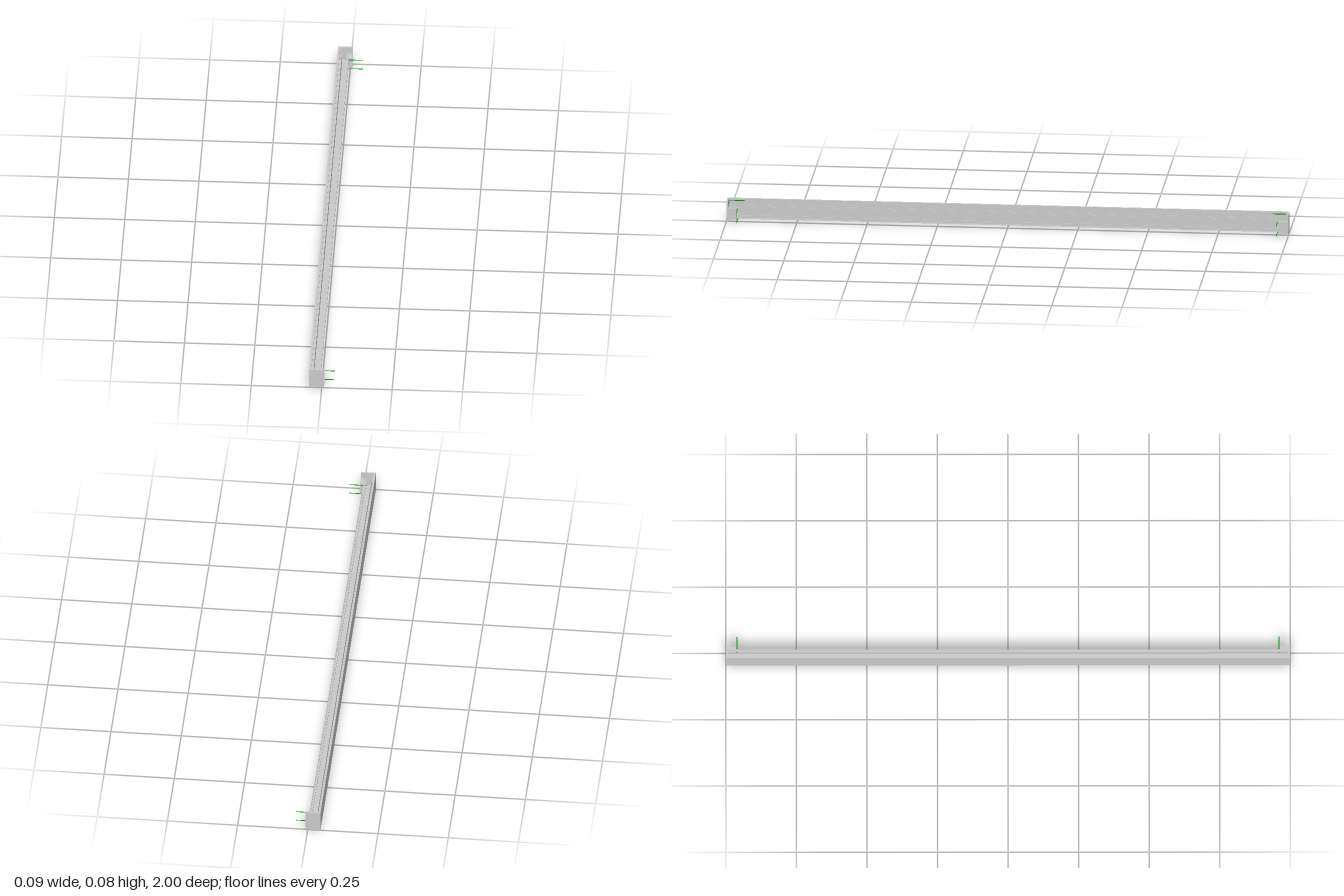
import * as THREE from 'three';

const grey = new THREE.MeshStandardMaterial({ color: 0xcccccc, side: THREE.DoubleSide });
const green = new THREE.MeshStandardMaterial({ color: 0x00a000 });

// Box given by its limits on each axis
function box(name, [x0, x1], [y0, y1], [z0, z1]) {
  const mesh = new THREE.Mesh(new THREE.BoxGeometry(x1 - x0, y1 - y0, z1 - z0), grey);
  mesh.position.set((x0 + x1) / 2, (y0 + y1) / 2, (z0 + z1) / 2);
  mesh.name = name;
  return mesh;
}

// Thin green pin lying along x or z
function pin(name, axis, length, x, y, z) {
  const mesh = new THREE.Mesh(new THREE.CylinderGeometry(0.0013, 0.0013, length, 24), green);
  if (axis === 'x') mesh.rotation.z = Math.PI / 2;
  else mesh.rotation.x = Math.PI / 2;
  mesh.position.set(x, y, z);
  mesh.name = name;
  return mesh;
}

// Rail cross-section: tall fascia with small ribs, and an open-topped trough
// whose front wall carries a lip at its top and bottom
function railProfile() {
  return new THREE.Shape([
    [-0.045, 0], [-0.037, 0], [-0.037, 0.002], [-0.043, 0.002],
    [-0.043, 0.010], [-0.038, 0.010], [-0.038, 0.012], [-0.043, 0.012],
    [-0.043, 0.019], [-0.005, 0.019], [-0.005, 0.022], [-0.008, 0.022],
    [-0.008, 0.048], [-0.005, 0.048], [-0.005, 0.054], [-0.007, 0.054],
    [-0.007, 0.051], [-0.013, 0.051], [-0.013, 0.049], [-0.010, 0.049],
    [-0.010, 0.022], [-0.030, 0.022], [-0.030, 0.054], [-0.032, 0.054],
    [-0.032, 0.022], [-0.043, 0.022], [-0.043, 0.073], [-0.039, 0.073],
    [-0.039, 0.069], [-0.037, 0.069], [-0.037, 0.075], [-0.045, 0.075],
  ].map(([x, y]) => new THREE.Vector2(x, y)));
}

// End cap at +z with its mounting bracket and pins
function endCap() {
  const cap = new THREE.Group();
  cap.add(box('endPlate', [-0.045, 0.008], [0, 0.075], [0.994, 1]));
  cap.add(box('bracketWeb', [-0.005, -0.002], [0.005, 0.050], [0.960, 0.994]));
  cap.add(box('bracketTop', [-0.002, 0.008], [0.047, 0.050], [0.963, 0.994]));
  cap.add(box('bracketBottom', [-0.002, 0.008], [0.005, 0.008], [0.963, 0.994]));
  cap.add(box('bracketSide', [-0.002, 0.008], [0.008, 0.047], [0.963, 0.966]));
  for (const y of [0.008, 0.0455]) cap.add(pin('mountingPin', 'x', 0.060, 0.0155, y, 0.96));
  cap.add(pin('capPin', 'z', 0.055, -0.0405, 0.066, 0.9675));
  return cap;
}

export function createModel() {
  const model = new THREE.Group();
  model.name = 'rail';

  const geometry = new THREE.ExtrudeGeometry(railProfile(), { depth: 1.988, bevelEnabled: false });
  geometry.translate(0, 0, -0.994);
  const rail = new THREE.Mesh(geometry, grey);
  rail.name = 'railProfile';
  model.add(rail);

  // Matching caps at both ends
  const front = endCap();
  front.name = 'frontEndCap';
  const back = endCap();
  back.name = 'backEndCap';
  back.scale.z = -1;
  model.add(front, back);
  return model;
}
